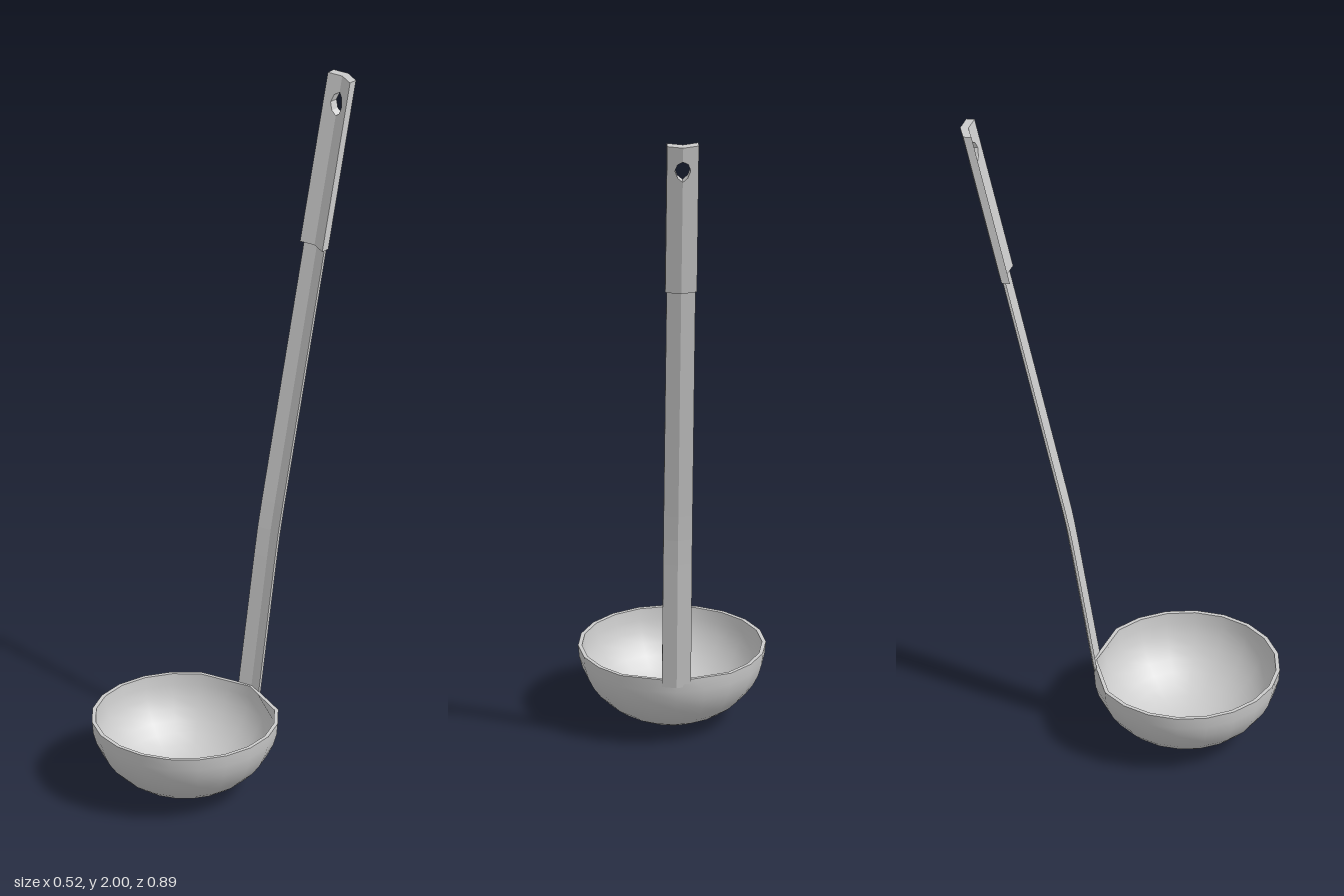
import * as THREE from 'three';
import { mergeGeometries } from 'three/addons/utils/BufferGeometryUtils.js';

const material = new THREE.MeshStandardMaterial({ color: 0xcccccc });
const flat = new THREE.MeshStandardMaterial({ color: 0xcccccc, flatShading: true });
const SIDES = 20, RADIUS = 0.26, HEIGHT = 0.22, WALL = 0.011, BOWL_Z = 0.183;

// Move every vertex of a geometry by a rule
function reshape(geometry, rule) {
  const p = geometry.attributes.position, v = new THREE.Vector3();
  for (let i = 0; i < p.count; i++) {
    rule(v.fromBufferAttribute(p, i));
    p.setXYZ(i, v.x, v.y, v.z);
  }
  geometry.computeVertexNormals();
  return geometry;
}

// Piecewise linear z along a list of [y, z] points
function along(path, y) {
  let i = 0;
  while (i < path.length - 2 && y > path[i + 1][0]) i++;
  const [y0, z0] = path[i], [y1, z1] = path[i + 1];
  return z0 + (z1 - z0) * (y - y0) / (y1 - y0);
}

// Quarter-ellipse profile from the centre of the base up to the rim
function profile(inset) {
  const points = [];
  for (let i = 0; i <= 10; i++) {
    const a = i / 10 * Math.PI / 2;
    points.push(new THREE.Vector2(Math.sin(a) * (RADIUS - inset), HEIGHT - Math.cos(a) * (HEIGHT - inset)));
  }
  return points;
}

function makeBowl() {
  const bowl = new THREE.Group();
  bowl.name = 'bowl';
  const outer = profile(0), inner = profile(WALL).reverse();
  const surfaces = { bowlOuter: outer, bowlRim: [outer[10], inner[0]], bowlInner: inner };
  for (const [name, points] of Object.entries(surfaces)) {
    const geometry = new THREE.LatheGeometry(points, SIDES);
    const p = geometry.attributes.position;
    // The rim runs straight into the shaft at the back
    for (let i = 0; i < p.count; i++) {
      const x = p.getX(i), z = p.getZ(i);
      if (p.getY(i) > HEIGHT - 0.001 && z < -0.22 && Math.abs(x) > 0.05) {
        p.setX(i, Math.sign(x) * 0.045);
        p.setZ(i, z + 0.003);
      }
    }
    const mesh = new THREE.Mesh(geometry, material);
    mesh.name = name;
    bowl.add(mesh);
  }
  bowl.position.z = BOWL_Z;
  return bowl;
}

// Thin strip with a shallow V section, bent backwards part way up
function makeShaft() {
  const path = [[0.2, -0.058], [0.66, -0.131], [0.74, -0.147], [1.56, -0.325]];
  const half = 0.04, bottom = 0.2, top = 1.56, thick = 0.008;
  const geometry = new THREE.BoxGeometry(half * 2, top - bottom, thick, 2, 17, 1);
  geometry.translate(0, (top + bottom) / 2, -thick / 2);
  reshape(geometry, v => { v.z += along(path, v.y) - 0.011 * (1 - Math.abs(v.x) / half); });
  const mesh = new THREE.Mesh(geometry, flat);
  mesh.name = 'shaft';
  return mesh;
}

// Thicker V-section grip in two mirrored halves around the hanging hole
function makeGrip() {
  const path = [[1.51, -0.302], [2, -0.409]];
  const half = 0.044, thick = 0.023;
  const outline = [[0, 1.51], [half, 1.51], [half, 2], [0, 2],
    [0, 1.953], [0.015, 1.942], [0.022, 1.92], [0.014, 1.897], [0, 1.885]];
  const halves = [1, -1].map(side => {
    const shape = new THREE.Shape(outline.map(([x, y]) => new THREE.Vector2(x * side, y)));
    const geometry = new THREE.ExtrudeGeometry(shape, { depth: thick, bevelEnabled: false });
    geometry.translate(0, 0, -thick);
    return reshape(geometry, v => { v.z += along(path, v.y) - 0.013 * (1 - Math.abs(v.x) / half); });
  });
  const mesh = new THREE.Mesh(mergeGeometries(halves), flat);
  mesh.name = 'grip';
  return mesh;
}

export function createModel() {
  const ladle = new THREE.Group();
  ladle.name = 'ladle';
  ladle.add(makeBowl(), makeShaft(), makeGrip());
  return ladle;
}
